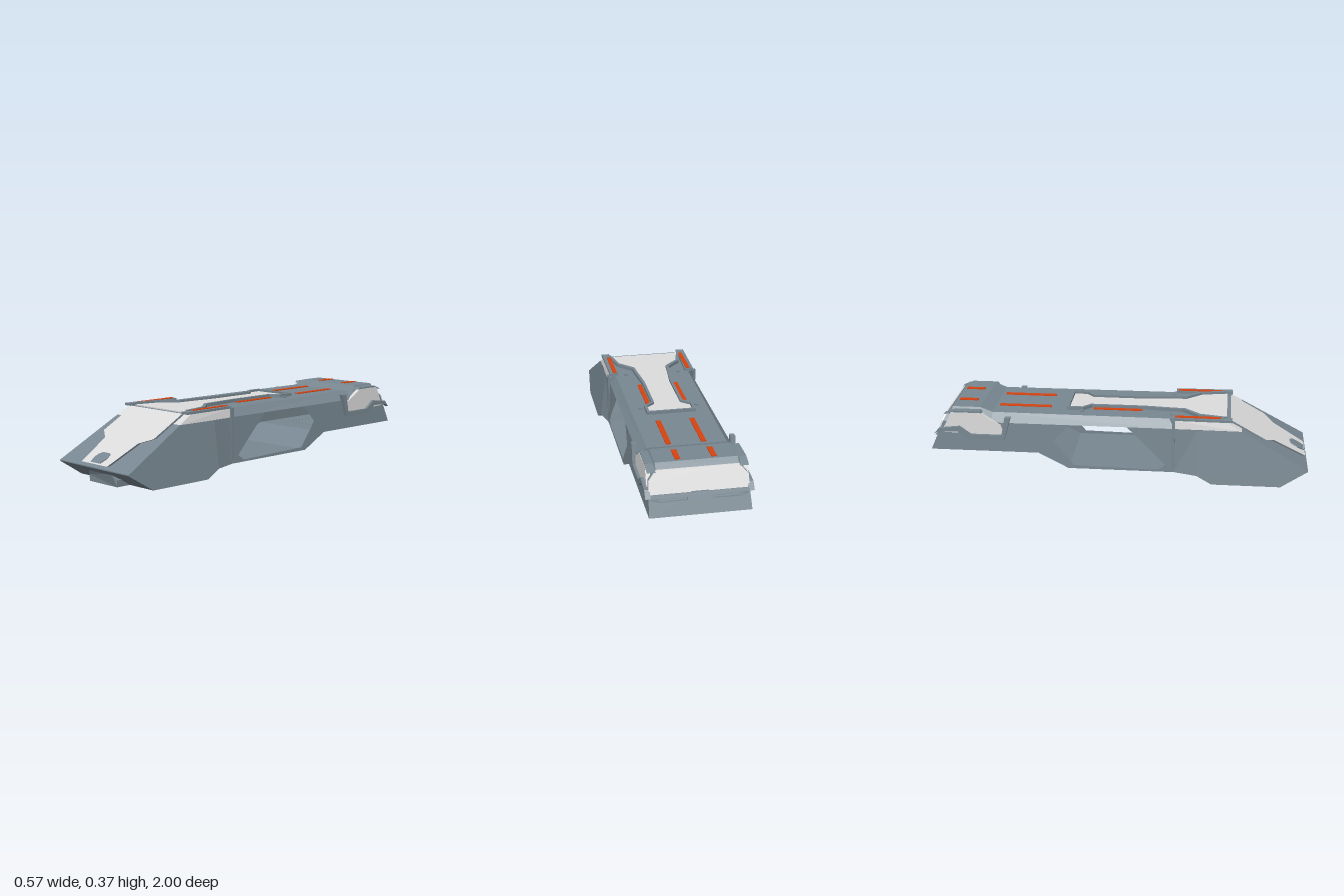
import * as THREE from 'three';

export function createModel() {
  const model = new THREE.Group();
  const paint = (name, color) =>
    new THREE.MeshStandardMaterial({ name, color, side: THREE.DoubleSide });
  const hull = paint('blue grey hull', 0x788791);
  const pale = paint('pale panels', 0xdcdcdc);
  const orange = paint('orange stripes', 0xd8430f);

  const add = (name, geometry, material) => {
    const mesh = new THREE.Mesh(geometry, material);
    mesh.name = name;
    model.add(mesh);
    return mesh;
  };
  const box = (name, mat, w, h, d, x, y, z) =>
    add(name, new THREE.BoxGeometry(w, h, d), mat).position.set(x, y, z);
  const toShape = pts => new THREE.Shape(pts.map(p => new THREE.Vector2(...p)));
  const mirrored = half => [...half, ...half.map(([x, y]) => [-x, y]).reverse()];

  // half width of the hull: slim body, flared front fenders
  const width = (z, y) => {
    const t = THREE.MathUtils.clamp((z - 0.3) / 0.12, 0, 1);
    return THREE.MathUtils.lerp(0.255 - 0.05 * y, 0.287 - 0.14 * y, t);
  };
  const edge = pts => pts.map(([z, y, w = width(z, y)]) => [w, y, z]);
  const flip = pts => pts.map(([x, y, z]) => [-x, y, z]);

  // band of flat quads between two rows of points
  function band(name, mat, a, b) {
    const v = [];
    for (let i = 0; i + 1 < a.length; i++)
      v.push(...a[i], ...b[i], ...b[i + 1], ...a[i], ...b[i + 1], ...a[i + 1]);
    const g = new THREE.BufferGeometry();
    g.setAttribute('position', new THREE.Float32BufferAttribute(v, 3));
    g.computeVertexNormals();
    add(name, g, mat);
  }

  // hull wall drawn in (z, y), bent onto the width rule
  function wall(name, pts, hole) {
    const shape = toShape(pts);
    if (hole) shape.holes.push(new THREE.Path(hole.map(p => new THREE.Vector2(...p))));
    for (const s of [1, -1]) {
      const g = new THREE.ShapeGeometry(shape).toNonIndexed();
      const p = g.attributes.position;
      for (let i = 0; i < p.count; i++) {
        const z = p.getX(i), y = p.getY(i);
        p.setXYZ(i, s * width(z, y), y, z);
      }
      g.computeVertexNormals();
      add(name, g, hull);
    }
  }

  // plate drawn in (z, y) and given thickness outward from x0, on both sides
  function sidePlate(name, mat, pts, x0, thick) {
    for (const s of [1, -1]) {
      const g = new THREE.ExtrudeGeometry(toShape(pts), { depth: thick, bevelEnabled: false });
      g.rotateY(-Math.PI / 2).translate(s > 0 ? x0 + thick : -x0, 0, 0);
      add(name, g, mat);
    }
  }

  // plate drawn in (x, y), sheared to lie on a sloping face
  function slopePlate(name, mats, pts, depth, zAt) {
    const g = new THREE.ExtrudeGeometry(toShape(pts), { depth, bevelEnabled: false });
    const p = g.attributes.position;
    for (let i = 0; i < p.count; i++) p.setZ(i, p.getZ(i) + zAt(p.getY(i)));
    g.computeVertexNormals();
    add(name, g, mats);
  }

  // plate drawn in (x, z) with its top at y
  function deckPlate(name, mat, pts, y, thick) {
    const g = new THREE.ExtrudeGeometry(toShape(pts), { depth: thick, bevelEnabled: false });
    add(name, g.rotateX(Math.PI / 2).translate(0, y, 0), mat);
  }

  // hollow hull: side walls with the large opening
  wall('bodySide',
    [[0.3, 0.06], [0.3, 0.3], [-0.93, 0.3], [-1, 0.14], [-0.42, 0.14], [-0.26, 0.06]],
    [[0.255, 0.1], [0.05, 0.3], [-0.26, 0.3], [-0.34, 0.21], [-0.23, 0.078], [0.215, 0.07]]);
  wall('fenderFlare', [[0.3, 0.06], [0.42, 0.055], [0.42, 0.3], [0.3, 0.3]]);
  wall('fenderSide', [[0.42, 0.055], [0.5, 0.012], [0.86, 0.012], [1, 0.1], [1, 0.105],
    [0.651, 0.3], [0.42, 0.3]]);

  // nose slope, undercut, belly and tail end
  const under = edge([[0.651, 0.3], [1, 0.105], [1, 0.1], [0.86, 0.012], [0.5, 0.012],
    [0.42, 0.055], [0.3, 0.06], [-0.26, 0.06], [-0.42, 0.14], [-1, 0.14], [-0.93, 0.3]]);
  band('belly', hull, under, flip(under));

  // roof with raised tail, and sloping shoulders
  const roof = edge([[0.57, 0.345, 0.235], [0.3, 0.345, 0.235], [0.27, 0.345, 0.207],
    [-0.67, 0.345, 0.2], [-0.735, 0.37, 0.2], [-0.885, 0.37, 0.2], [-0.91, 0.345, 0.2],
    [-0.93, 0.3, 0.24]]);
  band('roof', hull, roof, flip(roof));
  const sill = edge([0.651, 0.3, 0.27, -0.67, -0.735, -0.885, -0.91, -0.93].map(z => [z, 0.3]));
  for (const side of [p => p, flip]) {
    band('sideWindow', pale, side(sill.slice(0, 2)), side(roof.slice(0, 2)));
    band('shoulder', hull, side(sill.slice(1)), side(roof.slice(1)));
  }

  // windscreen with its wide upper band
  const noseZ = y => 1 - (y - 0.105) * 1.79;
  band('windscreenTop', pale, [sill[0], roof[0]], flip([sill[0], roof[0]]));
  slopePlate('windscreen', [pale, hull], mirrored([[0.195, 0.345], [0.195, 0.24], [0.13, 0.215],
    [0.1, 0.12]]), 0.02, noseZ);
  slopePlate('noseSensor', hull, mirrored([[0.025, 0.165], [0.04, 0.16], [0.046, 0.145],
    [0.036, 0.126]]), 0.008, y => noseZ(y) + 0.019);

  // pale roof strip inside a raised lip
  const strip = [[0.195, 0.57], [0.165, 0.43], [0.09, 0.35], [0.085, 0.28], [0.07, 0.13],
    [0.07, -0.16], [0.115, -0.2], [0.115, -0.27]];
  deckPlate('roofStrip', pale, mirrored(strip), 0.35, 0.006);
  const rim = strip.map(([x, z]) => [x + 0.014, z + (z < -0.1 && z > -0.25 ? 0.008 : -0.012)]);
  const lip = [...strip, [0, -0.27], [0, -0.282], ...rim.reverse()];
  deckPlate('roofLip', hull, lip, 0.362, 0.018);
  deckPlate('roofLip', hull, lip.map(([x, z]) => [-x, z]), 0.362, 0.018);
  box('ceilingPanel', pale, 0.38, 0.004, 0.6, 0, 0.338, -0.05);

  // paired roof fittings
  for (const s of [1, -1]) {
    deckPlate('cowlPlate', hull, [[0.19, 0.29], [0.238, 0.29], [0.243, 0.6], [0.2, 0.6]]
      .map(([x, z]) => [s * x, z]), 0.357, 0.012);
    for (const [x, w, y, z0, z1] of [[0.21, 0.022, 0.358, 0.3, 0.54],
      [0.1, 0.022, 0.347, -0.14, 0.12], [0.088, 0.026, 0.347, -0.65, -0.37],
      [0.088, 0.026, 0.372, -0.87, -0.77]])
      box('roofStripe', orange, w, 0.005, z1 - z0, s * x, y, (z0 + z1) / 2);
    for (const z of [0.28, -0.2])
      box('roofStud', hull, 0.018, 0.01, 0.018, s * 0.15, 0.348, z);
    box('collarRib', hull, 0.012, 0.27, 0.016, s * 0.245, 0.215, 0.295);
    box('bellyRail', hull, 0.02, 0.008, 0.1, s * 0.14, 0.009, 0.75);
  }

  // tail pods: pale window, grey tray and corner fins
  sidePlate('tailWindow', pale, [[-0.6, 0.23], [-0.62, 0.29], [-0.68, 0.32], [-0.73, 0.352],
    [-0.885, 0.352], [-0.925, 0.27], [-0.94, 0.24]], 0.225, 0.022);
  sidePlate('tailTray', hull, [[-0.565, 0.335], [-0.6, 0.21], [-0.79, 0.21], [-0.85, 0.25],
    [-0.96, 0.245], [-0.98, 0.23], [-0.95, 0.265], [-0.84, 0.278], [-0.78, 0.235],
    [-0.615, 0.235], [-0.595, 0.335]], 0.236, 0.026);
  sidePlate('tailFin', hull, [[-0.72, 0.35], [-0.88, 0.35], [-0.925, 0.338], [-0.87, 0.36],
    [-0.73, 0.36]], 0.2, 0.045);

  // rear window following the sloping tail end
  const tailZ = y => (y > 0.3 ? -0.93 + (y - 0.3) * 0.45 : -0.93 - (0.3 - y) * 0.4375);
  slopePlate('rearWindow', pale, mirrored([[0.2, 0.345], [0.24, 0.3], [0.243, 0.245],
    [0.19, 0.225], [0.06, 0.225], [0.04, 0.245]]), 0.008, y => tailZ(y) - 0.008);
  slopePlate('rearSill', hull, mirrored([[0.24, 0.242], [0.19, 0.222], [0.06, 0.222],
    [0.06, 0.21], [0.19, 0.208], [0.24, 0.22]]), 0.012, y => tailZ(y) - 0.012);

  // chin scoop below the nose
  const scoop = mirrored([[0.055, 0.09], [0.085, 0.078], [0.11, 0.046], [0.108, 0.012]]);
  slopePlate('chinScoop', hull, scoop, 0.1, y => 0.84 + Math.max(0, y - 0.046) * 0.5);

  // belly hatch frame and tow ring
  for (const s of [1, -1]) {
    box('hatchFrame', hull, 0.02, 0.006, 0.36, s * 0.15, 0.138, -0.74);
    box('hatchFrame', hull, 0.3, 0.006, 0.02, 0, 0.138, -0.74 + s * 0.17);
  }
  const ring = add('towRing', new THREE.TorusGeometry(0.025, 0.005, 6, 12), hull);
  ring.rotation.x = Math.PI / 2;
  ring.position.set(0, 0.007, 0.6);

  return model;
}
